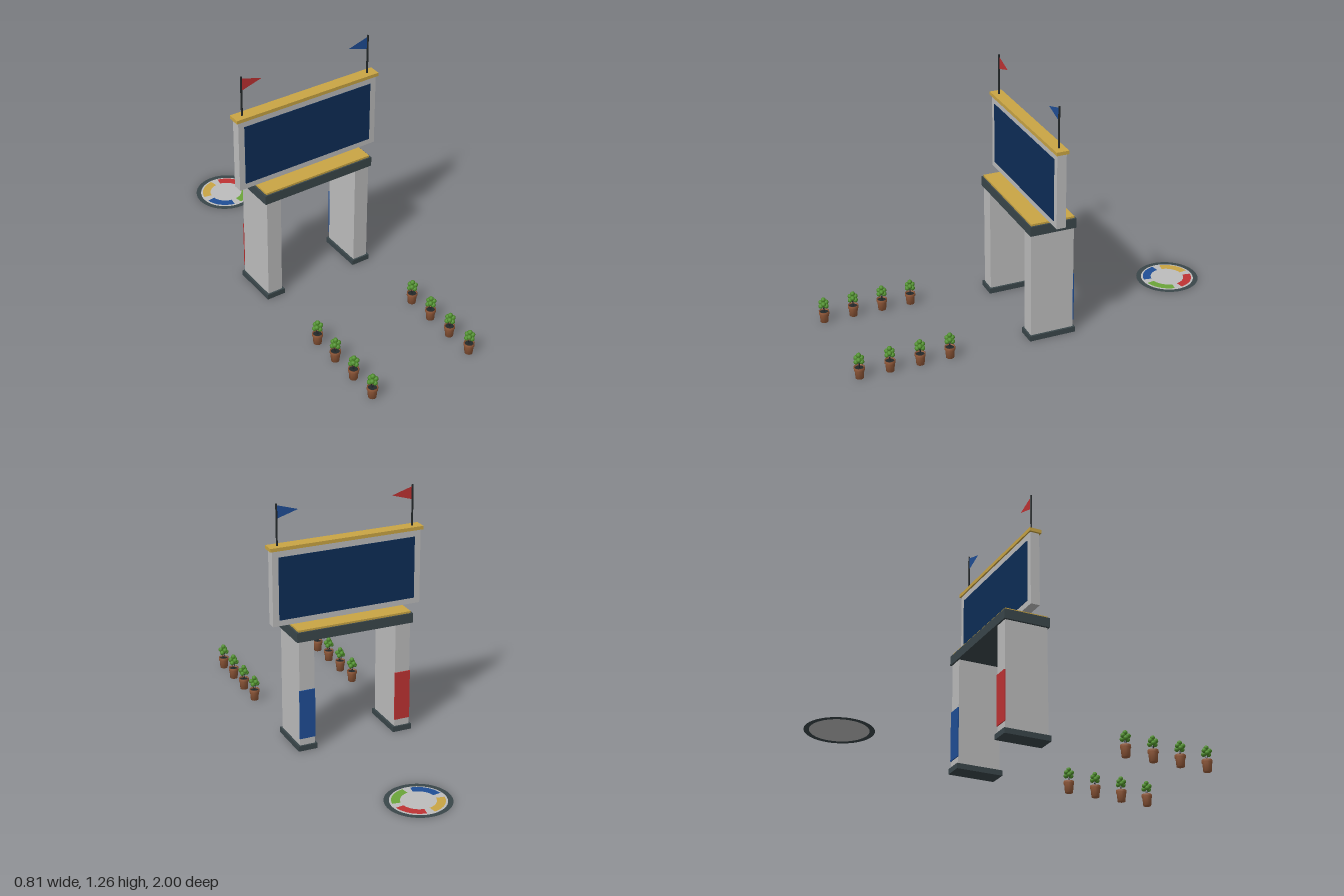
import * as THREE from 'three';

const mat = (name, color, side = THREE.FrontSide) => {
  const m = new THREE.MeshStandardMaterial({ color, side });
  m.name = name;
  return m;
};

export function createModel() {
  const D = THREE.DoubleSide;
  const M = {
    stone: mat('pale grey', 0xbcbcbc, D),
    gold: mat('gold', 0xc9a544),
    slate: mat('dark slate', 0x3a464a, D),
    navy: mat('navy screen', 0x0d2d57),
    red: mat('red', 0xbe3233, D),
    blue: mat('blue', 0x1f4e96, D),
    green: mat('lime green', 0x6ba53a),
    clay: mat('terracotta', 0x935a3a),
    leaf: mat('leaf green', 0x4f8f2c),
    black: mat('charcoal', 0x23282a),
  };
  for (const k of ['gold']) M[k].side = D;
  M.green.side = D;

  const model = new THREE.Group();
  model.name = 'gateway';
  const add = (parent, name, geo, material, x = 0, y = 0, z = 0) => {
    const mesh = new THREE.Mesh(geo, material);
    mesh.name = name;
    mesh.position.set(x, y, z);
    parent.add(mesh);
    return mesh;
  };
  // box given by its width, bottom, top and depth
  const box = (parent, name, material, w, y0, y1, d, x = 0, z = 0) =>
    add(parent, name, new THREE.BoxGeometry(w, y1 - y0, d), material, x, (y0 + y1) / 2, z);

  // gate: feet, legs, rear bands, beam, signboard, poles and flags
  const gate = new THREE.Group();
  gate.name = 'gate';
  gate.position.z = -0.027;
  model.add(gate);
  for (const s of [-1, 1]) {
    const colour = s < 0 ? M.red : M.blue;
    box(gate, 'foot', M.slate, 0.102, 0, 0.028, 0.245, s * 0.26);
    box(gate, 'leg', M.stone, 0.08, 0.028, 0.585, 0.226, s * 0.26);
    box(gate, 'legBand', colour, 0.083, 0.065, 0.325, 0.006, s * 0.26, -0.115);

    add(gate, 'flagPole', new THREE.CylinderGeometry(0.005, 0.005, 0.212, 8), M.black, s * 0.36, 1.154, 0);
    const flag = new THREE.Shape([
      new THREE.Vector2(0, 0.034), new THREE.Vector2(0, -0.034), new THREE.Vector2(-s * 0.112, 0),
    ]);
    add(gate, 'flag', new THREE.ShapeGeometry(flag), colour, s * 0.36, 1.218, 0);
  }
  box(gate, 'beam', M.slate, 0.624, 0.585, 0.635, 0.243);
  box(gate, 'beamTop', M.gold, 0.605, 0.635, 0.645, 0.228);
  box(gate, 'signboard', M.stone, 0.792, 0.645, 1.032, 0.048);
  for (const s of [-1, 1]) box(gate, 'screen', M.navy, 0.727, 0.675, 0.998, 0.004, 0, s * 0.0245);
  box(gate, 'signCap', M.gold, 0.814, 1.032, 1.05, 0.064);

  // flat round floor emblem
  const emblem = new THREE.Group();
  emblem.name = 'floorEmblem';
  emblem.position.z = -0.837;
  model.add(emblem);
  const flat = (name, geo, material, y) => {
    add(emblem, name, geo, material, 0, y, 0).rotation.x = -Math.PI / 2;
  };
  flat('emblemRim', new THREE.RingGeometry(0.138, 0.163, 48), M.slate, 0.001);
  flat('emblemDisc', new THREE.CircleGeometry(0.138, 48), M.stone, 0.001);
  [M.red, M.gold, M.blue, M.green].forEach((m, i) => {
    const gap = 0.16;
    flat('emblemArc', new THREE.RingGeometry(0.086, 0.128, 12, 1,
      i * Math.PI / 2 + gap, Math.PI / 2 - 2 * gap), m, 0.0025);
  });

  // two rows of potted shrubs
  const potGeo = new THREE.LatheGeometry([
    [0, 0], [0.0205, 0], [0.024, 0.045], [0.027, 0.045], [0.027, 0.06], [0.023, 0.06], [0.022, 0.053],
  ].map(([x, y]) => new THREE.Vector2(x, y)), 12);
  const soilGeo = new THREE.CircleGeometry(0.0225, 12).rotateX(-Math.PI / 2);
  const stemGeo = new THREE.CylinderGeometry(0.0015, 0.002, 0.045, 5);
  const leafGeo = new THREE.IcosahedronGeometry(0.0125, 1);
  for (const x of [-0.285, 0.285]) {
    for (let i = 0; i < 4; i++) {
      const shrub = new THREE.Group();
      shrub.name = 'pottedShrub';
      shrub.position.set(x, 0, 0.509 + i * 0.1535);
      model.add(shrub);
      add(shrub, 'pot', potGeo, M.clay);
      add(shrub, 'soil', soilGeo, M.black, 0, 0.054, 0);
      for (const s of [-1, 1]) {
        add(shrub, 'stem', stemGeo, M.black, s * 0.006, 0.075, 0).rotation.z = -s * 0.2;
      }
      for (let k = 0; k < 6; k++) {
        const a = k * Math.PI / 3 + 0.3;
        add(shrub, 'leafCluster', leafGeo, M.leaf,
          Math.cos(a) * 0.0155, k % 2 ? 0.092 : 0.106, Math.sin(a) * 0.0155);
      }
      add(shrub, 'leafCluster', leafGeo, M.leaf, 0, 0.124, 0);
    }
  }
  return model;
}
